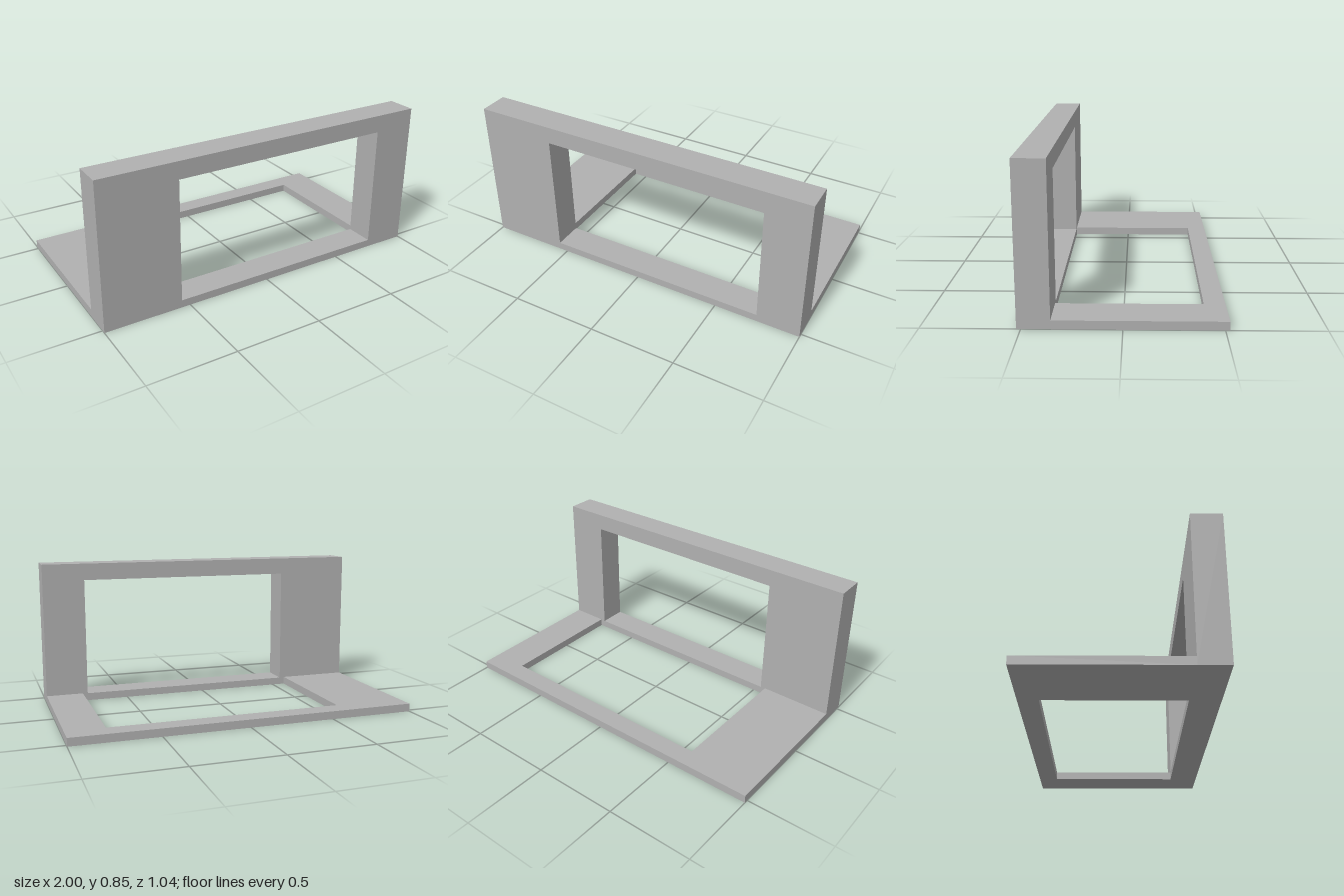
import * as THREE from 'three';

// Flat rectangular plate with one rectangular opening
function framePlate(outer, hole, depth) {
  const trace = (path, [x0, y0, x1, y1]) =>
    path.moveTo(x0, y0).lineTo(x1, y0).lineTo(x1, y1).lineTo(x0, y1).closePath();
  const shape = new THREE.Shape();
  trace(shape, outer);
  const opening = new THREE.Path();
  trace(opening, hole);
  shape.holes.push(opening);
  return new THREE.ExtrudeGeometry(shape, { depth, bevelEnabled: false });
}

export function createModel() {
  const model = new THREE.Group();
  model.name = 'angledFrame';
  const grey = new THREE.MeshStandardMaterial({ color: 0xb0b0b0 });
  grey.name = 'grey';

  const zFront = 0.522, zJoin = 0.354, zBack = -0.522, baseHeight = 0.046;

  // Thick upright frame along the front
  const upright = new THREE.Mesh(
    framePlate([-1, 0, 1, 0.85], [-0.55, 0.044, 0.75, 0.75], zFront - zJoin), grey);
  upright.name = 'uprightFrame';
  upright.position.z = zJoin;
  model.add(upright);

  // Thin base lying behind it, open on the side that meets the upright
  const outline = [
    [-1, zJoin], [-0.58, zJoin], [-0.58, -0.41], [0.78, -0.41],
    [0.78, zJoin], [1, zJoin], [1, zBack], [-1, zBack],
  ].map(([x, z]) => new THREE.Vector2(x, -z));
  const baseGeometry = new THREE.ExtrudeGeometry(new THREE.Shape(outline),
    { depth: baseHeight, bevelEnabled: false });
  baseGeometry.rotateX(-Math.PI / 2);
  const base = new THREE.Mesh(baseGeometry, grey);
  base.name = 'baseFrame';
  model.add(base);

  return model;
}
